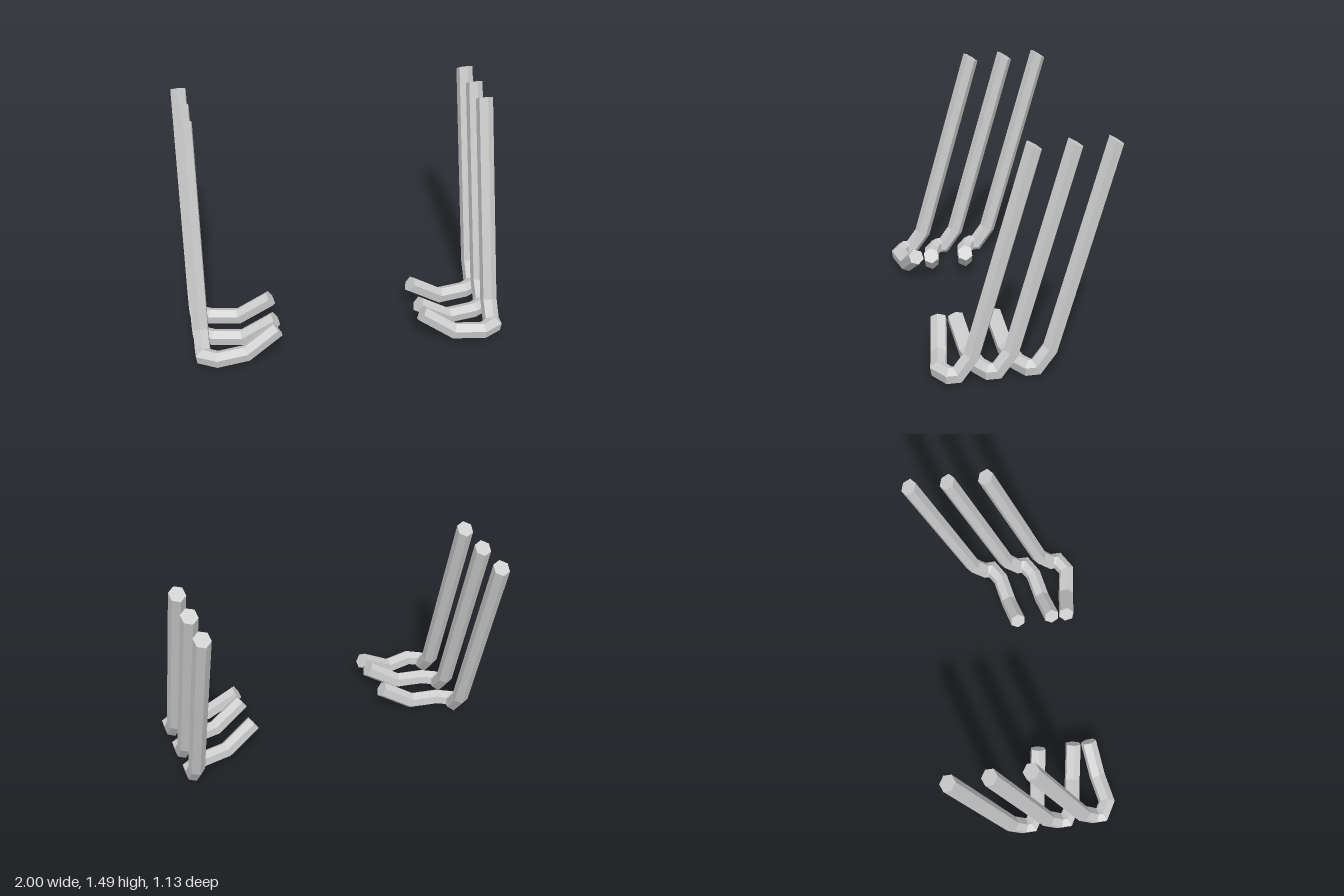
import * as THREE from 'three';

const SIDES = 6, RADIUS = 0.054, TWIST = 0.14;
const V = (x, y, z) => new THREE.Vector3(x, y, z);

// Hexagonal bar swept along a bent path; joints are mitred. side = 1 (+x) or -1 (mirrored).
function bentBar(path, startNormal, side) {
  const dirs = path.slice(1).map((p, i) => p.clone().sub(path[i]).normalize());
  const front = V(0, -dirs[0].y, 0).set(0, dirs[0].z, -dirs[0].y);
  let ring = [];
  for (let j = 0; j < SIDES; j++) {
    const a = TWIST + (j / SIDES) * Math.PI * 2;
    ring.push(path[0].clone()
      .addScaledVector(V(side, 0, 0), RADIUS * Math.sin(a))
      .addScaledVector(front, RADIUS * Math.cos(a)));
  }
  // slide a ring along direction d until it lies in the plane through p with normal n
  const project = (pts, d, p, n) => pts.map((q) =>
    q.clone().addScaledVector(d, p.clone().sub(q).dot(n) / d.dot(n)));

  const rings = [project(ring, dirs[0], path[0], startNormal)];
  for (let i = 1; i < path.length; i++) {
    const d = dirs[i - 1];
    const n = i < dirs.length ? d.clone().add(dirs[i]) : d;
    rings.push(project(rings[i - 1], d, path[i], n));
  }

  const pos = [];
  const tri = (a, b, c) => {
    for (const p of side > 0 ? [a, b, c] : [a, c, b]) pos.push(p.x, p.y, p.z);
  };
  const last = rings.length - 1;
  for (let j = 0; j < SIDES; j++) {
    const k = (j + 1) % SIDES;
    for (let i = 0; i < last; i++) {
      const a = rings[i], b = rings[i + 1];
      tri(a[j], b[j], a[k]);
      tri(a[k], b[j], b[k]);
    }
    tri(path[0], rings[0][j], rings[0][k]);
    tri(path[last], rings[last][k], rings[last][j]);
  }
  const geo = new THREE.BufferGeometry();
  geo.setAttribute('position', new THREE.Float32BufferAttribute(pos, 3));
  geo.computeVertexNormals();
  return geo;
}

export function createModel() {
  const model = new THREE.Group();
  model.name = 'bentBars';
  const material = new THREE.MeshStandardMaterial({ color: 0xcccccc, flatShading: true });
  const capNormal = V(0, -0.86, 0.51);

  for (const side of [1, -1]) {
    const bank = new THREE.Group();
    bank.name = side > 0 ? 'leftBars' : 'rightBars';
    ['front', 'middle', 'rear'].forEach((label, i) => {
      const z = -0.24 * i;
      const sweep = i === 0 ? -1 : 1; // front hook angles back, the others forward
      const path = [
        V(side * 0.95, 1.46, z - 0.04),                  // top of upright
        V(side * 0.95, 0.17, z + 0.325),                 // lower bend
        V(side * 0.95, 0.053, z + 0.41),                 // heel
        V(side * 0.95, 0.053, z + 0.46),                 // outer corner
        V(side * 0.865, 0.053, z + 0.51),                // inner corner
        V(side * 0.68, 0.053, z + 0.51 + sweep * 0.033), // start of raised tip
        V(side * 0.47, 0.192, z + 0.51 + sweep * 0.068), // tip
      ];
      const bar = new THREE.Mesh(bentBar(path, capNormal, side), material);
      bar.name = label + 'Bar';
      bank.add(bar);
    });
    model.add(bank);
  }
  return model;
}
